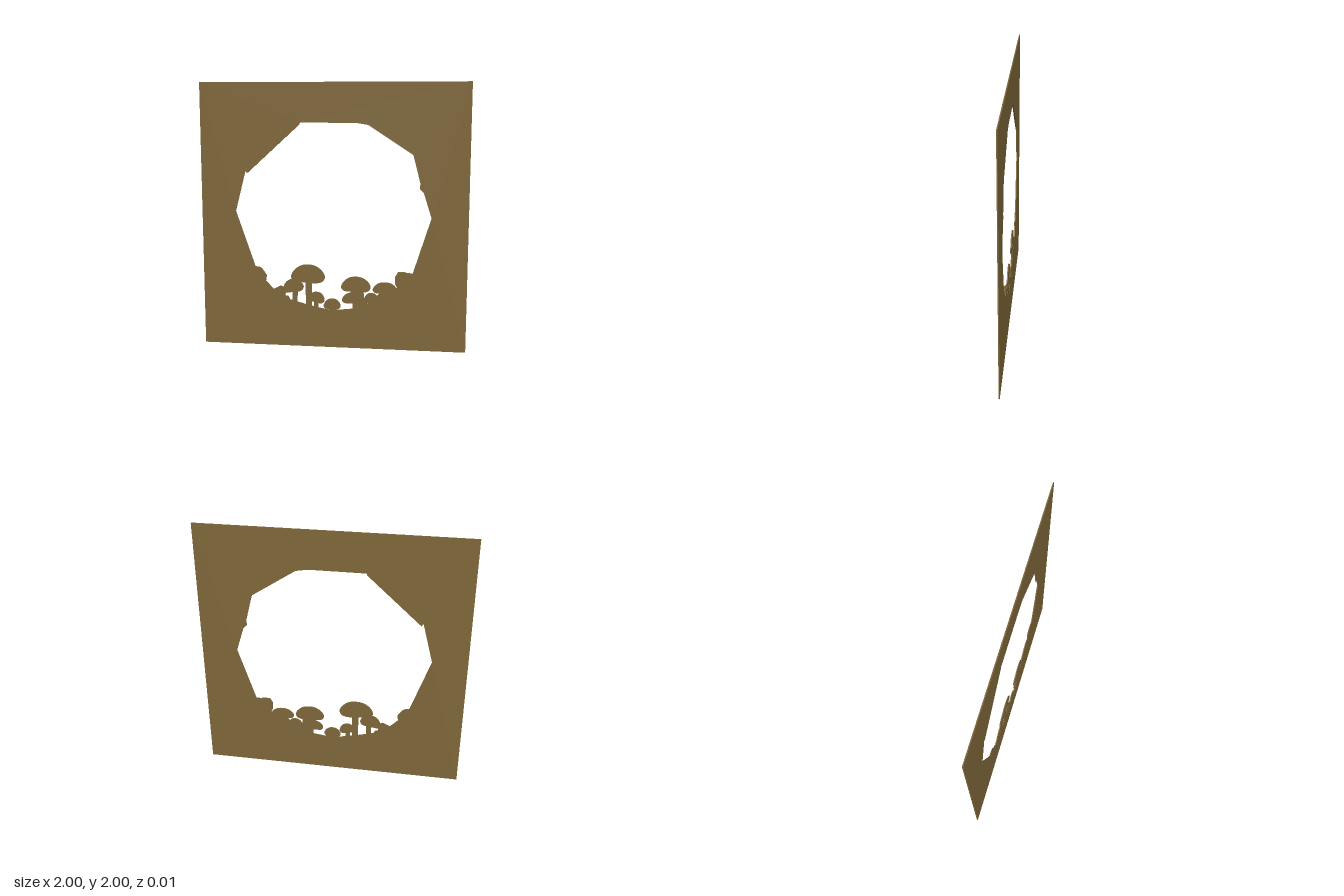
import * as THREE from 'three';

const DEPTH = 0.008;
const material = new THREE.MeshStandardMaterial({ color: 0x80683a });

const vectors = (points) => points.map(([x, y]) => new THREE.Vector2(x, y));

// Flat cut-out of the sheet thickness, centred on z = 0
function cutout(name, shape) {
  const geometry = new THREE.ExtrudeGeometry(shape, { depth: DEPTH, bevelEnabled: false, curveSegments: 4 });
  geometry.translate(0, 0, -DEPTH / 2);
  const mesh = new THREE.Mesh(geometry, material);
  mesh.name = name;
  return mesh;
}

// Rounded cap outline, x from -1 to 1 and y from 0 to 1
const CAP = [[-1, 0.3], [-0.85, 0.65], [-0.45, 0.93], [0, 1], [0.45, 0.93], [0.85, 0.65], [1, 0.35],
  [0.85, 0.1], [0.4, 0], [-0.2, 0.05], [-0.8, 0.08]];

// Mushroom: cap by its extents and tilt, stem by top and foot centre, widths and foot height
function mushroom({ cap: [x0, x1, y0, y1, tilt = 0], stem }) {
  const group = new THREE.Group();
  group.name = 'mushroom';
  const cx = (x0 + x1) / 2, cy = (y0 + y1) / 2;
  const centre = new THREE.Vector2(cx, cy);
  const outline = vectors(CAP.map(([x, y]) => [cx + x * (x1 - x0) / 2, y0 + y * (y1 - y0)]));
  outline.forEach((p) => p.rotateAround(centre, tilt));
  const curve = new THREE.CatmullRomCurve3(outline.map((p) => new THREE.Vector3(p.x, p.y, 0)), true);
  const smooth = curve.getPoints(33).slice(0, -1).map((p) => new THREE.Vector2(p.x, p.y));
  group.add(cutout('mushroomCap', new THREE.Shape(smooth)));
  if (stem) {
    const [topX, footX, topW, footW, footY] = stem;
    group.add(cutout('mushroomStem', new THREE.Shape(vectors([
      [footX - footW / 2, footY], [footX + footW / 2, footY],
      [topX + topW / 2, cy], [topX - topW / 2, cy],
    ]))));
  }
  return group;
}

export function createModel() {
  const model = new THREE.Group();
  model.name = 'mushroomPanel';

  // Square sheet with a rough many-sided opening
  const panel = new THREE.Shape(vectors([[-1, 0], [1, 0], [1, 2], [-1, 2]]));
  panel.holes.push(new THREE.Path(vectors([
    [-0.25, 1.69], [-0.245, 1.705], [0.17, 1.705], [0.26, 1.69], [0.59, 1.475], [0.645, 1.265],
    [0.64, 1.23], [0.67, 1.2], [0.73, 1.01], [0.6, 0.595], [0.56, 0.595], [0.54, 0.603],
    [0.49, 0.6], [0.47, 0.565], [0.47, 0.51], [0.485, 0.48], [0.35, 0.43], [0.31, 0.385],
    [0.26, 0.345], [0.24, 0.335], [0.15, 0.308], [0, 0.29], [-0.1, 0.307], [-0.2, 0.33],
    [-0.33, 0.365], [-0.34, 0.39], [-0.365, 0.395], [-0.36, 0.44], [-0.385, 0.465], [-0.4, 0.47],
    [-0.455, 0.443], [-0.515, 0.505], [-0.508, 0.55], [-0.545, 0.602], [-0.565, 0.613],
    [-0.595, 0.615], [-0.74, 1.04], [-0.66, 1.35], [-0.648, 1.327],
  ])));
  model.add(cutout('panel', panel));

  // Mushrooms along the lower rim
  const mushrooms = [
    { cap: [-0.32, -0.06, 0.495, 0.64], stem: [-0.185, -0.183, 0.05, 0.045, 0.31] },
    { cap: [-0.385, -0.225, 0.42, 0.525, 0.2], stem: [-0.29, -0.29, 0.045, 0.035, 0.34] },
    { cap: [-0.185, -0.06, 0.345, 0.43, -0.15], stem: [-0.13, -0.125, 0.04, 0.03, 0.3] },
    { cap: [-0.07, 0.06, 0.297, 0.382], stem: [0, 0, 0.05, 0.06, 0.28] },
    { cap: [0.063, 0.287, 0.436, 0.557], stem: [0.18, 0.19, 0.1, 0.1, 0.36] },
    { cap: [0.07, 0.24, 0.345, 0.435], stem: [0.19, 0.195, 0.08, 0.09, 0.3] },
    { cap: [0.235, 0.35, 0.348, 0.435], stem: [0.25, 0.25, 0.03, 0.03, 0.33] },
    { cap: [0.302, 0.485, 0.43, 0.52] },
  ];
  mushrooms.forEach((m) => model.add(mushroom(m)));
  return model;
}
